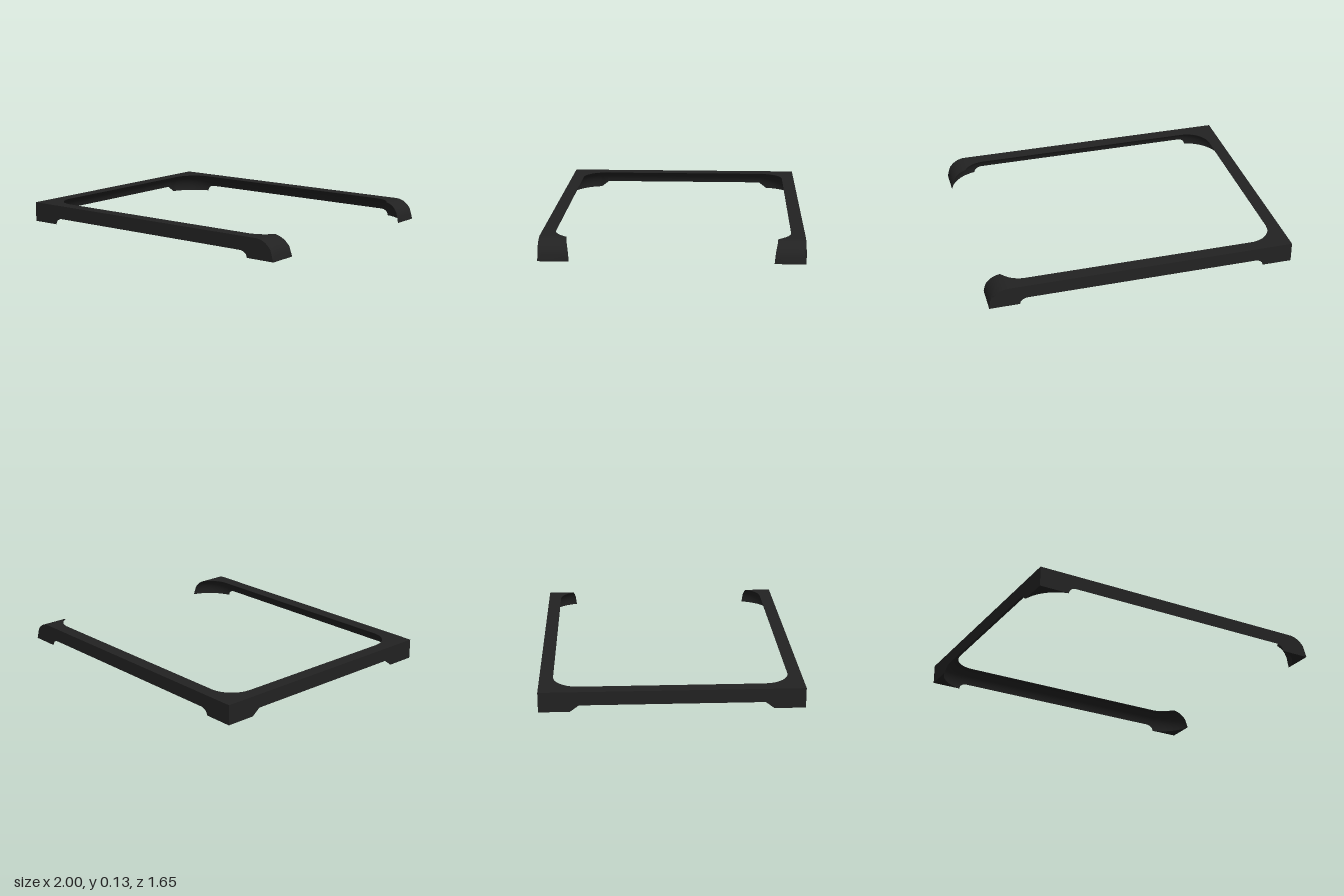
import * as THREE from 'three';
import { toCreasedNormals } from 'three/addons/utils/BufferGeometryUtils.js';

// Outer box, and the rounded hollow that is scooped out of its inside.
const W = 1, D = 0.825, H = 0.13;
const CX = W - 0.25, CZ = D - 0.25;            // centres of the hollow's corner rounds
const LIP = 0.164, APEX = 0.143, END = 0.256;  // radii: inner lip, crown and foot of the cove
const A = END - APEX;
const N = 14;

// Top of the frame: flat, with a quarter-round at the open ends (+x).
const topY = (x) => x <= W - H ? H : Math.sqrt(Math.max(0, H * H - (x - W + H) ** 2));
// Underside of the frame: an elliptical cove that reaches the ground at END.
const coveY = (r) => H * Math.sqrt(Math.max(0, 1 - ((r - APEX) / A) ** 2));

// Cross-section at core point (cx, cz), looking outward along (nx, nz).
function section(cx, cz, nx, nz) {
  const rOut = Math.min(nx ? (W - Math.abs(cx)) / Math.abs(nx) : 9, nz ? (D - Math.abs(cz)) / Math.abs(nz) : 9);
  const rMid = Math.min(END, rOut);
  // where the end round meets the cove, the lip moves outward
  const meet = nx > 0 ? (APEX / A + (CX - W + H) / H) / (1 / A - nx / H) : 0;
  const r0 = Math.min(rMid, Math.max(LIP, meet));
  const ring = [];
  const put = (r, y) => ring.push([cx + nx * r, y, cz + nz * r]);
  // underside cove
  const p0 = Math.asin((r0 - APEX) / A), p1 = Math.asin(Math.min(1, (rMid - APEX) / A));
  for (let i = 0; i <= N; i++) {
    const r = APEX + A * Math.sin(p0 + (p1 - p0) * i / N);
    put(r, coveY(r));
  }
  // flat foot
  put(rOut, coveY(rMid));
  // outer wall and top
  for (let i = 0; i <= N; i++) {
    const r = rOut + (r0 - rOut) * i / N;
    put(r, topY(cx + nx * r));
  }
  return ring;
}

// Angles through the listed stops, evenly subdivided.
function angles(stops) {
  const out = [stops[0]];
  for (let k = 1; k < stops.length; k++)
    for (let i = 1; i <= 12; i++) out.push(stops[k - 1] + (stops[k] - stops[k - 1]) * i / 12);
  return out;
}

function frameGeometry() {
  const edge = Math.acos(0.25 / END), q = Math.PI / 2;
  // half the path: open end, long rail, closed corner
  const half = [];
  for (const t of angles([q - edge, q / 2, edge, 0])) half.push([CX, CZ, Math.sin(t), Math.cos(t)]);
  for (const t of angles([0, edge, q / 2, q - edge])) half.push([-CX, CZ, -Math.sin(t), Math.cos(t)]);
  half.push([-CX, CZ, -1, 0]);
  const path = [...half, ...half.map(([x, z, nx, nz]) => [x, -z, nx, -nz]).reverse()];

  const rings = path.map((s) => section(...s));
  const M = rings[0].length, index = [];
  for (let i = 0; i < rings.length - 1; i++)
    for (let j = 0; j < M; j++) {
      const a = i * M + j, b = i * M + (j + 1) % M, c = a + M, d = b + M;
      index.push(a, b, c, b, d, c);
    }
  const g = new THREE.BufferGeometry();
  g.setAttribute('position', new THREE.Float32BufferAttribute(rings.flat(2), 3));
  g.setIndex(index);
  return toCreasedNormals(g, 0.5);
}

export function createModel() {
  const group = new THREE.Group();
  group.name = 'openFrame';
  const frame = new THREE.Mesh(frameGeometry(), new THREE.MeshStandardMaterial({ color: 0x222222 }));
  frame.name = 'frameWithFeet';
  group.add(frame);
  return group;
}
